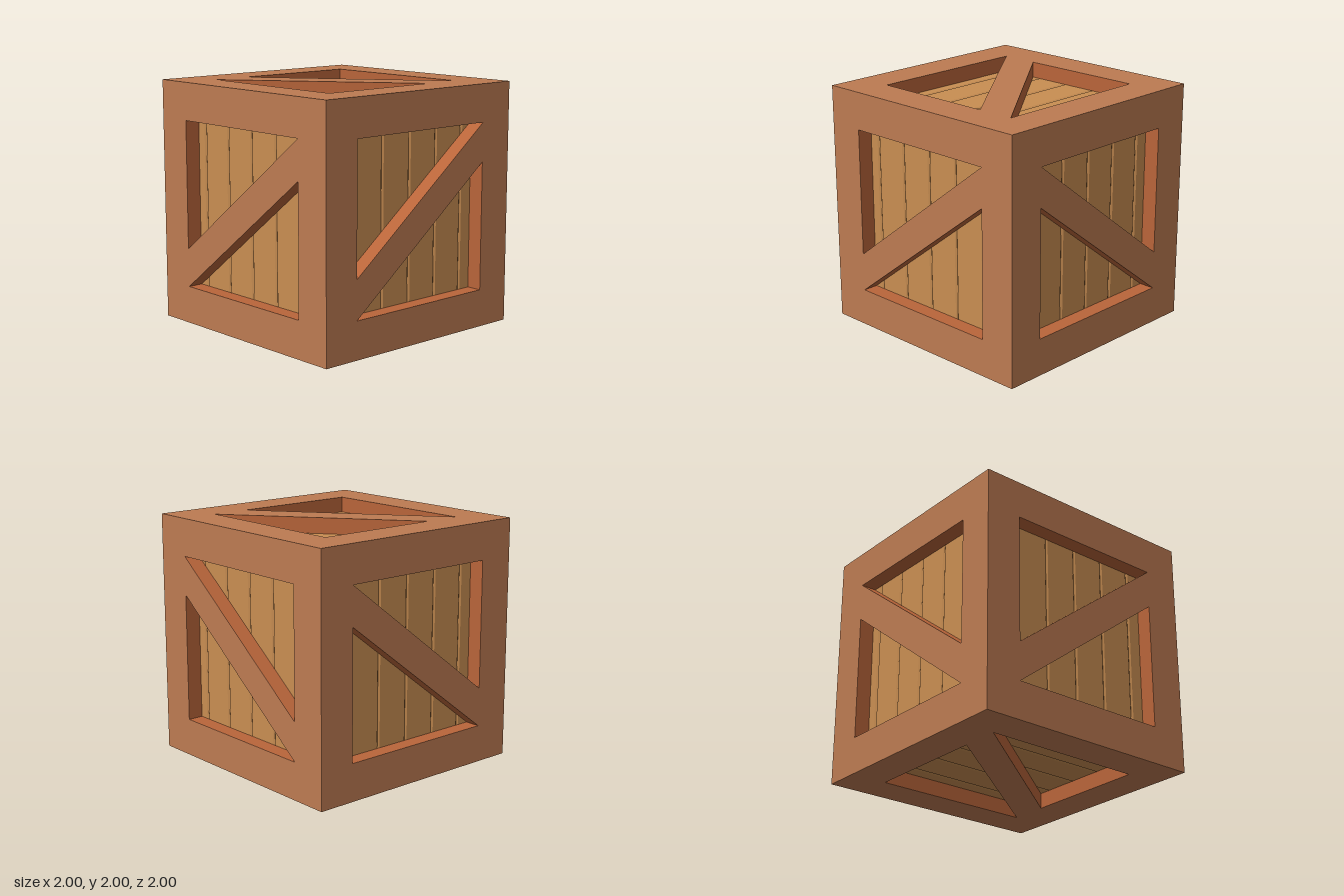
import * as THREE from 'three';

const DEPTH = 0.13;   // how far the planks sit behind the frame
const IN = 0.69;      // inner edge of the frame
const CUT = 0.37;     // where the brace meets the frame sides

const frameWood = new THREE.MeshStandardMaterial({ color: 0xbd7b52 });
frameWood.name = 'frame wood';
const cutWood = new THREE.MeshStandardMaterial({ color: 0xb9653a });
cutWood.name = 'cut edge wood';
const plankWood = new THREE.MeshStandardMaterial({ color: 0xc98e52 });
plankWood.name = 'plank wood';

// Square frame with a diagonal brace; map turns or mirrors the brace
function frameGeometry(map) {
  const path = (points) => points.map(([x, y]) => new THREE.Vector2(...map(x, y)));
  const shape = new THREE.Shape([[-1, -1], [1, -1], [1, 1], [-1, 1]].map((p) => new THREE.Vector2(...p)));
  for (const s of [1, -1]) {
    shape.holes.push(new THREE.Path(path([[-IN * s, IN * s], [IN * s, IN * s], [-IN * s, -CUT * s]])));
  }
  const geometry = new THREE.ExtrudeGeometry(shape, { depth: DEPTH, bevelEnabled: false });
  geometry.translate(0, 0, 1 - DEPTH);
  // Mitre the outer border so neighbouring frames meet at the cube edges
  const p = geometry.attributes.position;
  for (let i = 0; i < p.count; i++) {
    if (p.getZ(i) > 0.99 || Math.abs(p.getX(i)) < 0.95) continue;
    p.setXY(i, p.getX(i) * (1 - DEPTH), p.getY(i) * (1 - DEPTH));
  }
  geometry.computeVertexNormals();
  return geometry;
}

// Planked panel with shallow V grooves running along the face's height
function plankGeometry() {
  const w = 0.8;
  const shape = new THREE.Shape();
  shape.moveTo(-w, -0.04);
  shape.lineTo(w, -0.04);
  shape.lineTo(w, 0);
  for (let i = 4; i >= 0; i--) {
    const x = -0.6 + i * 0.293;
    shape.lineTo(x + 0.015, 0);
    shape.lineTo(x, -0.01);
    shape.lineTo(x - 0.015, 0);
  }
  shape.lineTo(-w, 0);
  const geometry = new THREE.ExtrudeGeometry(shape, { depth: 2 * w, bevelEnabled: false });
  geometry.translate(0, 0, -w);
  geometry.rotateX(Math.PI / 2);
  geometry.translate(0, 0, 1 - DEPTH);
  return geometry;
}

export function createModel() {
  const crate = new THREE.Group();
  crate.name = 'crate';

  const rising = (x, y) => [x, y];
  const falling = (x, y) => [-x, y];
  const steepRising = (x, y) => [y, x];
  const steepFalling = (x, y) => [y, -x];
  const H = Math.PI / 2;
  const sides = [
    ['front', 0, 0, rising],
    ['left', 0, H, falling],
    ['back', 0, 2 * H, falling],
    ['right', 0, -H, rising],
    ['top', -H, 0, steepFalling],
    ['bottom', H, 0, steepRising],
  ];

  const planks = plankGeometry();
  for (const [name, rx, ry, map] of sides) {
    const side = new THREE.Group();
    side.name = name + 'Side';
    const frame = new THREE.Mesh(frameGeometry(map), [frameWood, cutWood]);
    frame.name = name + 'Frame';
    const panel = new THREE.Mesh(planks, plankWood);
    panel.name = name + 'Planks';
    side.add(frame, panel);
    side.rotation.set(rx, ry, 0);
    side.position.y = 1;
    crate.add(side);
  }
  return crate;
}
